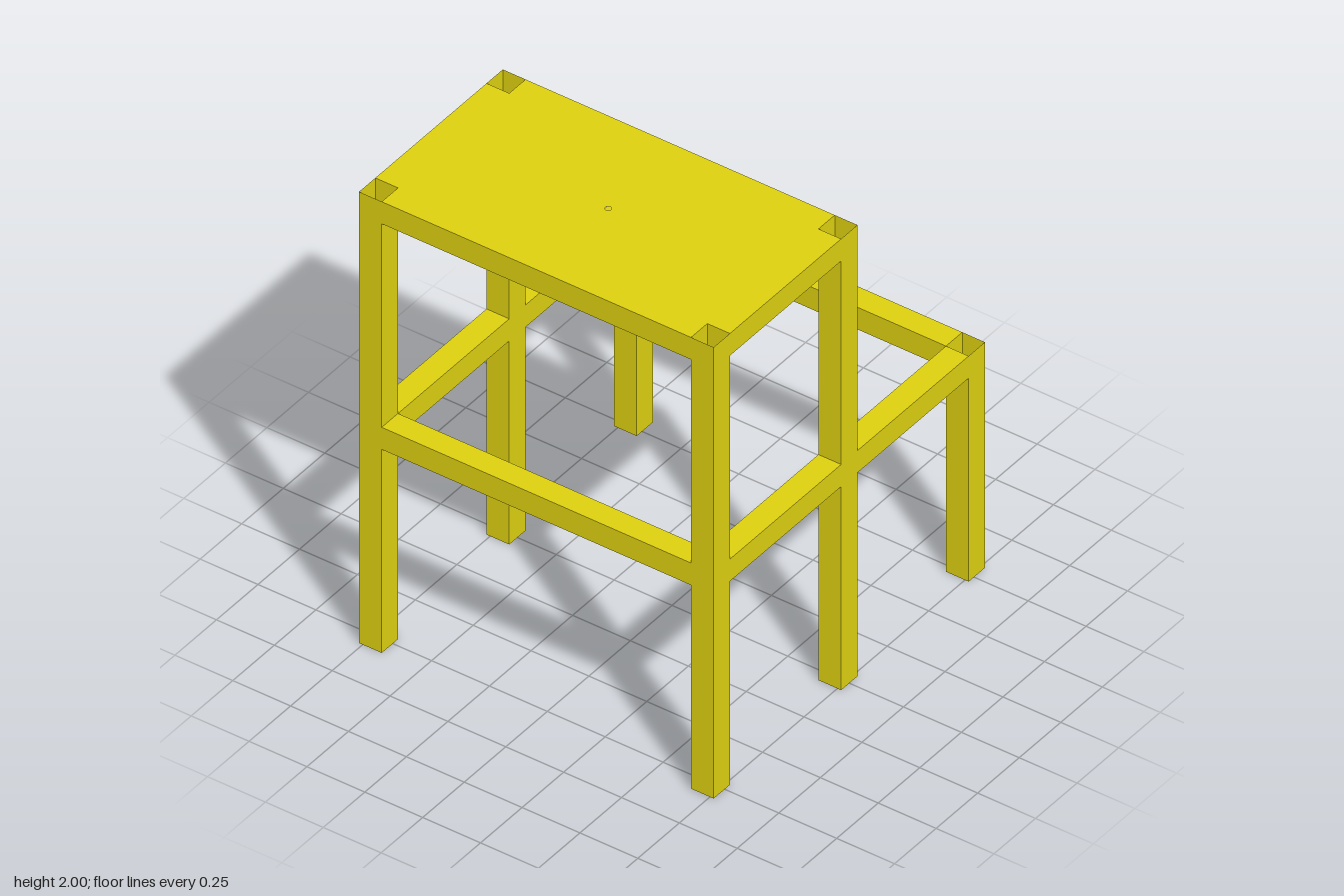
import * as THREE from 'three';

const S = 0.098;           // square tube width
const X = 0.767;           // outer leg centres in x
const Z = 0.717;           // leg centres in z
const LOW = 1 - S / 2;     // lower rail axis height
const HIGH = 2 - S / 2;    // upper rail axis height

const material = new THREE.MeshStandardMaterial({
  color: 0xddd010, side: THREE.DoubleSide, flatShading: true,
});

// Thin-walled square tube, open at both ends, running along y
function squareTube(length) {
  const r = S / Math.SQRT2;
  return new THREE.CylinderGeometry(r, r, length, 4, 1, true, Math.PI / 4).toNonIndexed();
}

// Flat rectangle with a small round hole, in the xy plane
function drilledSheet(w, h, holeX, holeY, radius) {
  const shape = new THREE.Shape([
    new THREE.Vector2(-w / 2, -h / 2), new THREE.Vector2(w / 2, -h / 2),
    new THREE.Vector2(w / 2, h / 2), new THREE.Vector2(-w / 2, h / 2),
  ]);
  const hole = new THREE.Path();
  hole.absarc(holeX, holeY, radius, 0, Math.PI * 2, true);
  shape.holes.push(hole);
  return new THREE.ShapeGeometry(shape, 12);
}

export function createModel() {
  const model = new THREE.Group();
  model.name = 'steppedFrameTable';

  function add(name, geometry, x, y, z, parent = model) {
    geometry.computeVertexNormals();
    const mesh = new THREE.Mesh(geometry, material);
    mesh.name = name;
    mesh.position.set(x, y, z);
    parent.add(mesh);
    return mesh;
  }

  const railX = (name, x0, x1, y, z) =>
    add(name, squareTube(x1 - x0 - S).rotateZ(Math.PI / 2), (x0 + x1) / 2, y, z);
  const railZ = (name, x, y) =>
    add(name, squareTube(2 * Z - S).rotateX(Math.PI / 2), x, y, 0);

  // Six legs and the side rails between them
  for (const [side, z] of [['front', Z], ['back', -Z]]) {
    for (const [place, x, h] of [['Right', -X, 2], ['Middle', 0, 2], ['Left', X, 1]]) {
      add(`${side}${place}Leg`, squareTube(h), x, h / 2, z);
    }
    railX(`${side}LowerRailRight`, -X, 0, LOW, z);
    railX(`${side}LowerRailLeft`, 0, X, LOW, z);
    railX(`${side}UpperRail`, -X, 0, HIGH, z);
  }

  // Long rails
  railZ('rightLowerRail', -X, LOW);
  railZ('rightUpperRail', -X, HIGH);
  railZ('middleUpperRail', 0, HIGH);

  // Left lower rail, drilled through both of its upright walls
  const length = 2 * Z - S;
  const drilled = new THREE.Group();
  drilled.name = 'leftLowerRail';
  drilled.position.set(X, LOW, 0);
  model.add(drilled);
  for (const s of [-1, 1]) {
    add('railWall', drilledSheet(length, S, 0, -0.026, 0.014).rotateY(s * Math.PI / 2),
      s * S / 2, 0, 0, drilled);
    add('railFlange', new THREE.PlaneGeometry(S, length).rotateX(-s * Math.PI / 2),
      0, s * S / 2, 0, drilled);
  }

  // Table top sheet between the upper rails, with a small centre hole
  add('tableTop', drilledSheet(X - S, length, 0, 0, 0.012).rotateX(-Math.PI / 2), -X / 2, 2, 0);

  return model;
}
